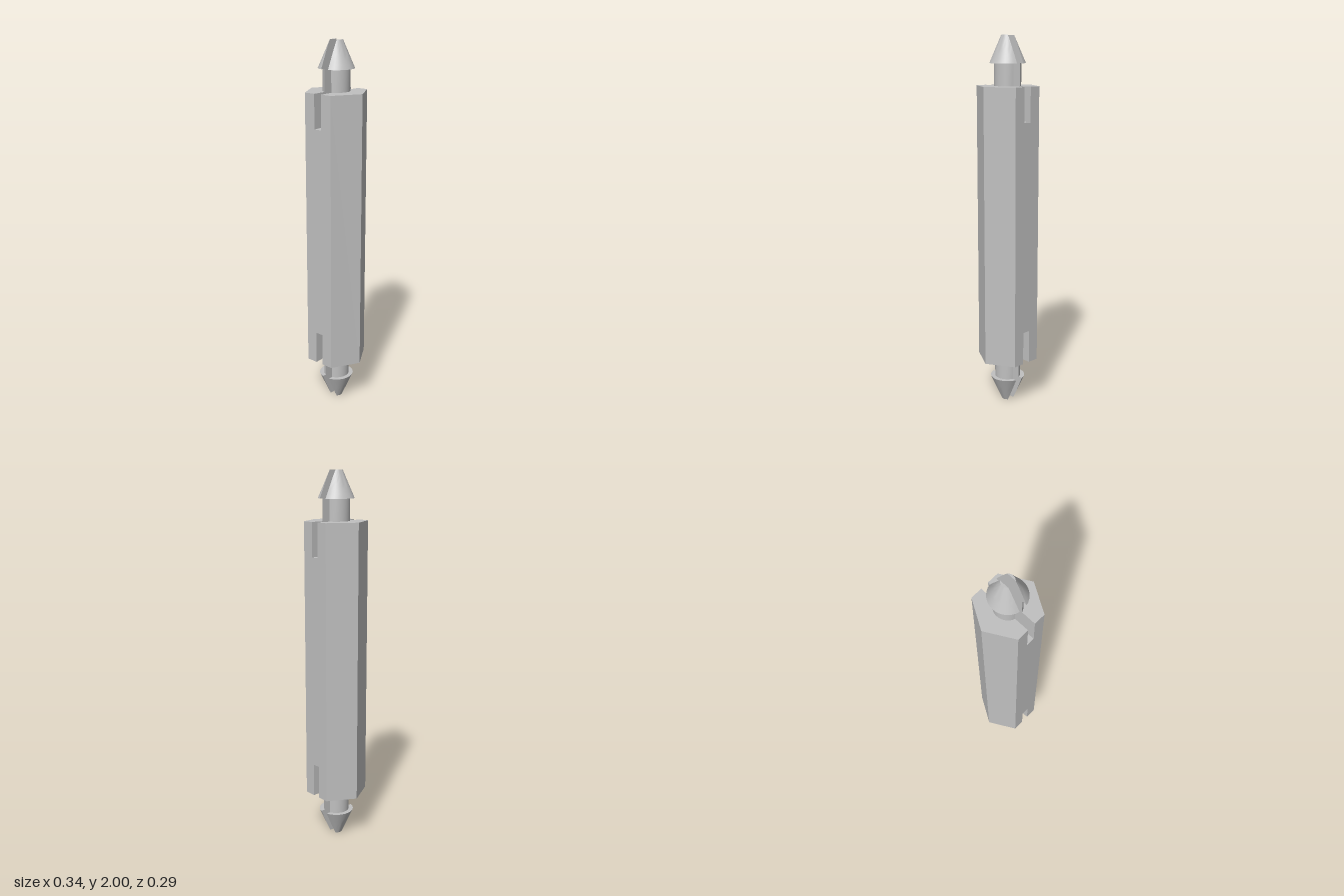
import * as THREE from 'three';
import { toCreasedNormals } from 'three/addons/utils/BufferGeometryUtils.js';

const SLOT = 0.022;                       // half width of the slots
const TOP = 1.746, BOTTOM = 0.254;        // ends of the hexagonal body
const SLOT_TOP = 1.568, SLOT_BOTTOM = 0.435;
const RADIUS = 0.168, FLAT = RADIUS / 2, DEPTH = 0.1455;

// Half of a slotted neck and barb: arcs cut off by the plane x = SLOT, lofted upward
function prongGeometry() {
  const rings = [[0.07, TOP], [0.07, 1.86]];
  for (let i = 0; i <= 6; i++) rings.push([0.094 - 0.061 * i / 6, 1.86 + 0.14 * i / 6]);
  const n = 17, pos = [], index = [];
  for (const [r, y] of rings) {
    const a = Math.acos(SLOT / r);
    for (let j = 0; j < n; j++) {
      const t = a * (2 * j / (n - 1) - 1);
      pos.push(r * Math.cos(t), y, r * Math.sin(t));
    }
  }
  for (let i = 0; i < rings.length - 1; i++) {
    for (let j = 0; j < n; j++) {
      const a = i * n + j, b = i * n + (j + 1) % n;
      index.push(a, a + n, b, b, a + n, b + n);
    }
  }
  const last = (rings.length - 1) * n;
  for (let j = 1; j < n - 1; j++) index.push(last, last + j + 1, last + j);
  const g = new THREE.BufferGeometry();
  g.setAttribute('position', new THREE.Float32BufferAttribute(pos, 3));
  g.setIndex(index);
  return toCreasedNormals(g, 0.5);
}

function extrude(points, depth) {
  const shape = new THREE.Shape(points.map(([x, y]) => new THREE.Vector2(x, y)));
  return new THREE.ExtrudeGeometry(shape, { depth, bevelEnabled: false });
}

export function createModel() {
  const group = new THREE.Group();
  const grey = new THREE.MeshStandardMaterial({ name: 'grey plastic', color: 0xc0c0c0 });
  const add = (geometry, name, parent = group) => {
    const mesh = new THREE.Mesh(geometry, grey);
    mesh.name = name;
    parent.add(mesh);
    return mesh;
  };

  // Middle of the hexagonal body, with a slot at each end
  const core = extrude([
    [-FLAT, BOTTOM], [-SLOT, BOTTOM], [-SLOT, SLOT_BOTTOM], [SLOT, SLOT_BOTTOM],
    [SLOT, BOTTOM], [FLAT, BOTTOM], [FLAT, TOP], [SLOT, TOP],
    [SLOT, SLOT_TOP], [-SLOT, SLOT_TOP], [-SLOT, TOP], [-FLAT, TOP],
  ], DEPTH * 2);
  core.translate(0, 0, -DEPTH);
  add(core, 'bodyCore');

  // Side wedges that complete the hexagon
  const wedge = extrude([[FLAT, -DEPTH], [RADIUS, 0], [FLAT, DEPTH]], TOP - BOTTOM);
  wedge.rotateX(-Math.PI / 2).translate(0, BOTTOM, 0);
  add(wedge, 'bodyWedgeLeft');
  add(wedge, 'bodyWedgeRight').rotation.y = Math.PI;

  // Split snap-in barbs, the lower pair turned upside down
  const prong = prongGeometry();
  for (const end of ['upper', 'lower']) {
    const clip = new THREE.Group();
    clip.name = end + 'Clip';
    add(prong, end + 'ProngLeft', clip);
    add(prong, end + 'ProngRight', clip).rotation.y = Math.PI;
    if (end === 'lower') {
      clip.rotation.x = Math.PI;
      clip.position.y = 2;
    }
    group.add(clip);
  }
  return group;
}
